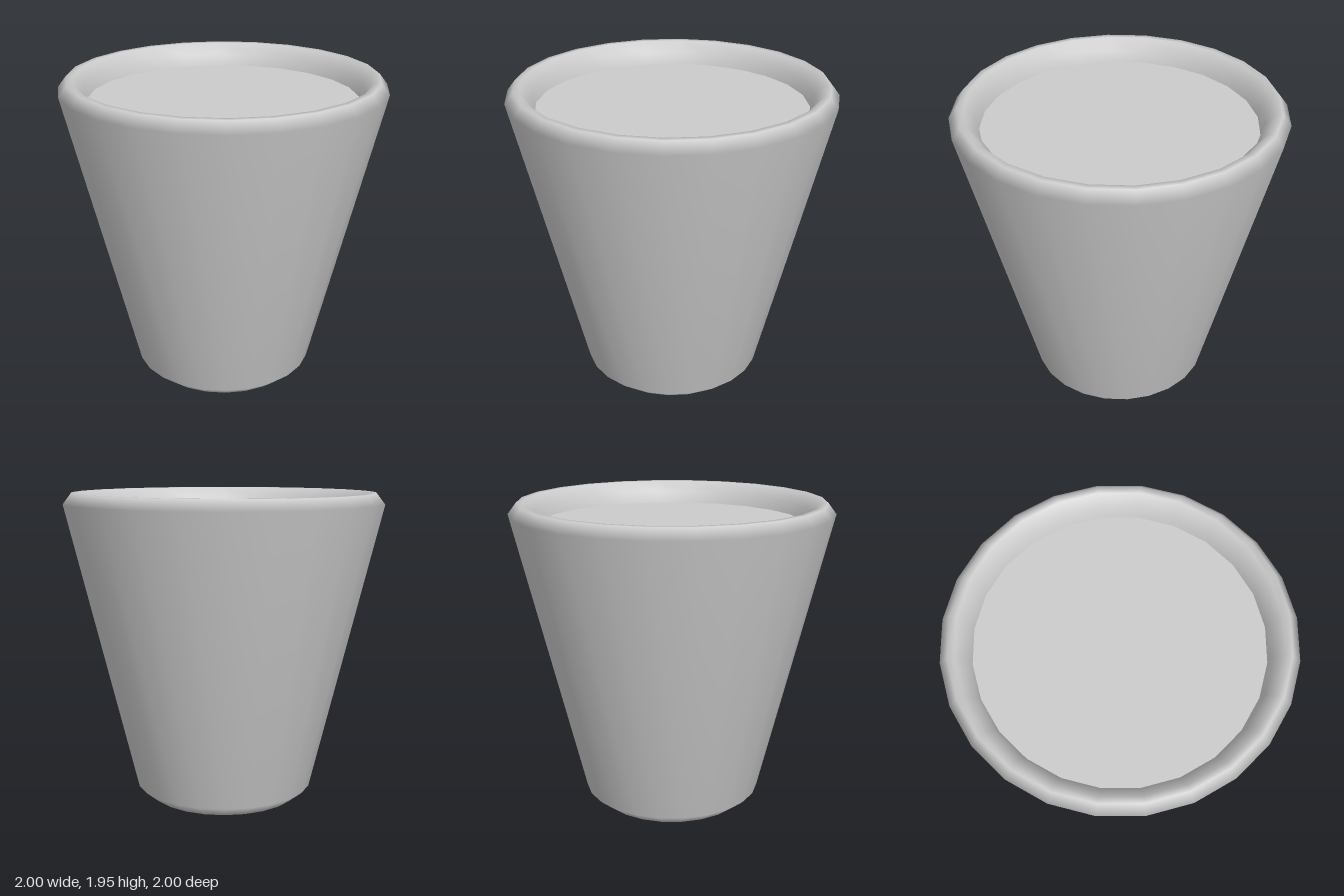
import * as THREE from 'three';

const SIDES = 24;

export function createModel() {
  const group = new THREE.Group();
  const material = new THREE.MeshStandardMaterial({ color: 0xcccccc });

  // Tapered pot: underside, outer wall, bevelled rim, short inner wall
  const profile = [
    [0, 0], [0.48, 0], [0.565, 0.07], [1, 1.88], [0.95, 1.945],
    [0.91, 1.945], [0.85, 1.88], [0.825, 1.79],
  ].map(([r, y]) => new THREE.Vector2(r, y));
  const pot = new THREE.Mesh(new THREE.LatheGeometry(profile, SIDES), material);
  pot.name = 'pot';
  group.add(pot);

  // Flat fill just below the rim
  const fill = new THREE.Mesh(new THREE.CircleGeometry(0.83, SIDES), material);
  fill.name = 'fill';
  fill.rotation.x = -Math.PI / 2;
  fill.position.y = 1.805;
  group.add(fill);

  return group;
}
